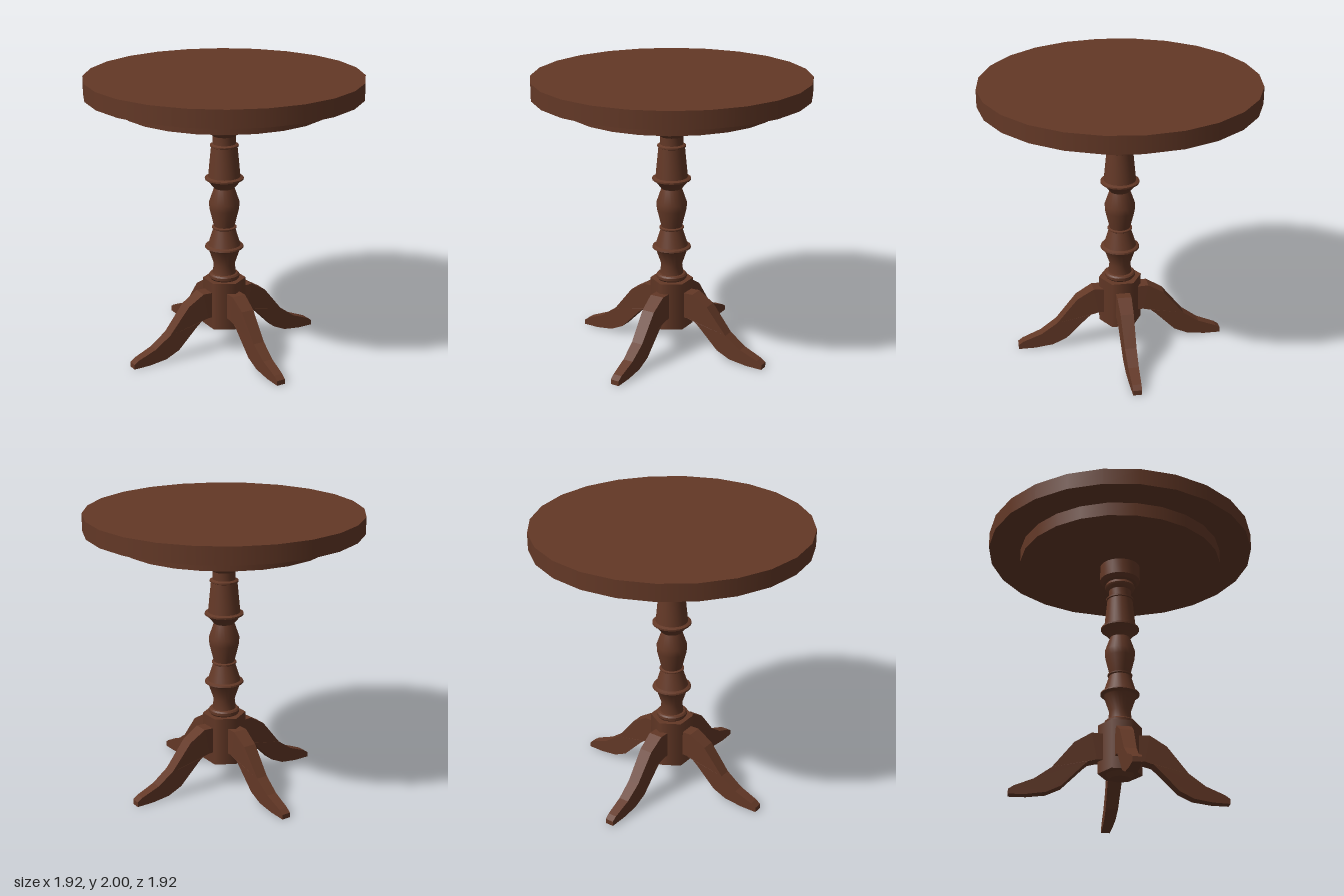
import * as THREE from 'three';
import { toCreasedNormals } from 'three/addons/utils/BufferGeometryUtils.js';

const wood = new THREE.MeshStandardMaterial({ color: 0x633826 });
wood.name = 'brown wood';

export function createModel() {
  const table = new THREE.Group();
  table.name = 'pedestalTable';

  const add = (name, geometry) => {
    const mesh = new THREE.Mesh(geometry, wood);
    mesh.name = name;
    table.add(mesh);
    return mesh;
  };
  const disc = (name, radius, y0, y1, sides) => {
    add(name, new THREE.CylinderGeometry(radius, radius, y1 - y0, sides)).position.y = (y0 + y1) / 2;
  };
  // turned part from [radius, height] pairs, bottom to top
  const turned = (name, profile, sides) => {
    const points = profile.map(([r, y]) => new THREE.Vector2(r, y));
    add(name, toCreasedNormals(new THREE.LatheGeometry(points, sides), 0.6));
  };

  // top board and the smaller board below it
  disc('tableTop', 0.96, 1.88, 2, 24);
  disc('underBoard', 0.73, 1.78, 1.88, 24);

  // turned column
  turned('column', [
    [0, 0.5], [0.1, 0.53], [0.108, 0.54], [0.108, 0.56], [0.098, 0.57], [0.083, 0.572],
    [0.075, 0.64], [0.112, 0.75], [0.118, 0.758], [0.138, 0.767], [0.135, 0.777], [0.115, 0.785],
    [0.078, 0.905], [0.087, 0.911], [0.087, 0.919], [0.073, 0.924],
    [0.104, 1.05], [0.108, 1.1], [0.072, 1.205],
    [0.118, 1.262], [0.136, 1.27], [0.136, 1.281], [0.113, 1.289],
    [0.092, 1.503], [0.1, 1.507], [0.1, 1.517], [0.08, 1.525],
    [0.08, 1.582], [0.102, 1.6], [0.109, 1.615], [0.1, 1.637], [0.085, 1.645],
    [0.12, 1.645], [0.145, 1.668], [0.145, 1.785],
  ], 24);

  // six-sided hub holding the legs, with a small drop below
  disc('hub', 0.153, 0.18, 0.53, 6);
  turned('hubDrop', [[0, 0.145], [0.07, 0.15], [0.1, 0.182], [0, 0.182]], 12);

  // curved leg in side view, tapering in width towards the foot
  const outline = [
    [0.05, 0.265], [0.164, 0.265], [0.22, 0.25], [0.254, 0.22], [0.4, 0.07], [0.5, 0.022],
    [0.63, 0.003], [0.75, 0], [0.75, 0.035], [0.714, 0.06], [0.582, 0.114], [0.466, 0.198],
    [0.317, 0.384], [0.2, 0.456], [0.05, 0.45],
  ].map(([x, y]) => new THREE.Vector2(x, y));
  const leg = new THREE.ExtrudeGeometry(new THREE.Shape(outline), { depth: 2, bevelEnabled: false });
  leg.translate(0, 0, -1);
  const p = leg.attributes.position;
  for (let i = 0; i < p.count; i++) {
    const t = THREE.MathUtils.clamp((p.getX(i) - 0.2) / 0.55, 0, 1);
    p.setZ(i, p.getZ(i) * THREE.MathUtils.lerp(0.051, 0.031, t));
  }
  leg.computeVertexNormals();
  ['leftLeg', 'backLeg', 'rightLeg', 'frontLeg'].forEach((name, i) => {
    add(name, leg).rotation.y = i * Math.PI / 2;
  });

  return table;
}
